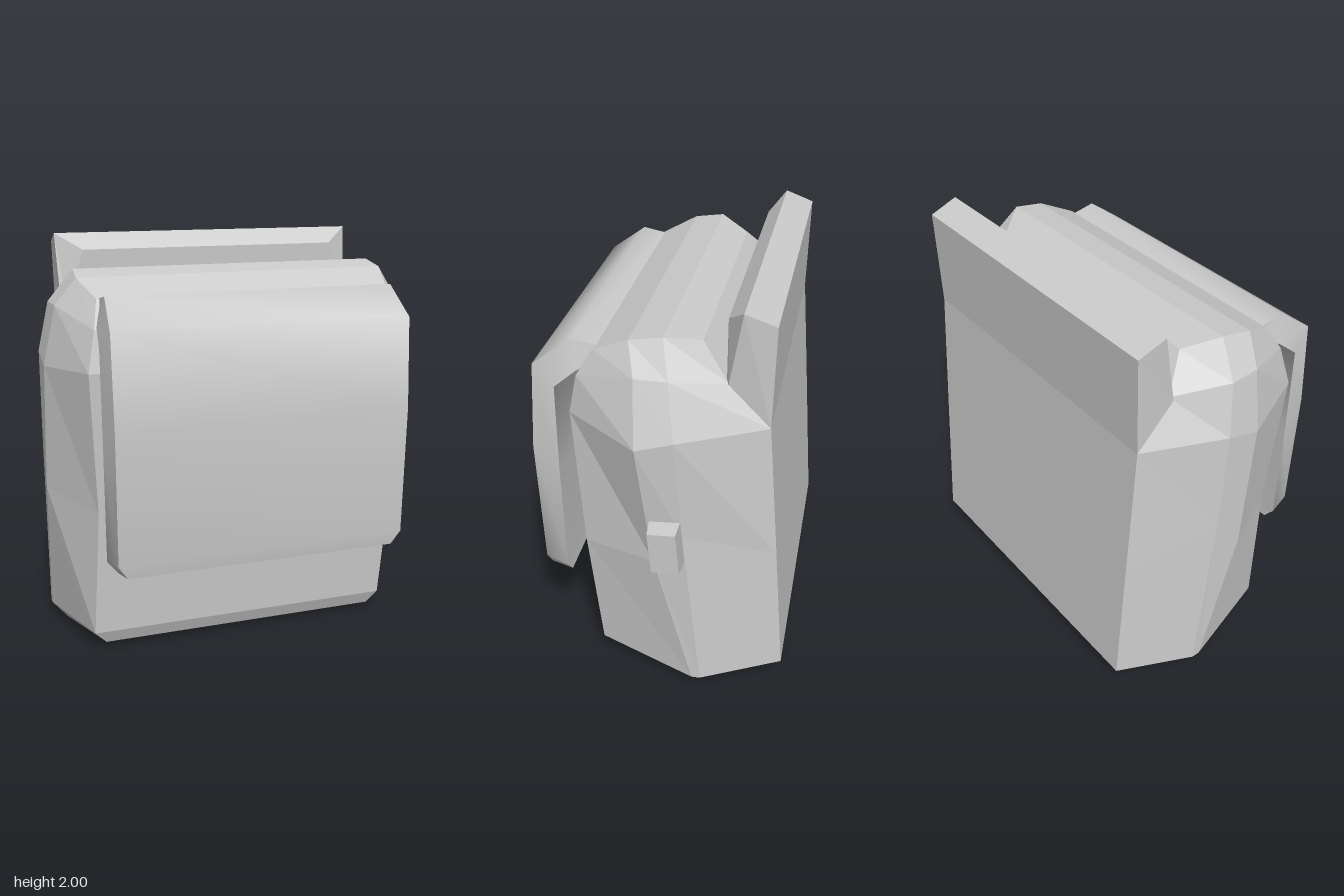
import * as THREE from 'three';
import { toCreasedNormals } from 'three/addons/utils/BufferGeometryUtils.js';

// Closed solid from side outlines: rows run upward, columns run front to back.
// Each point is [z, y, left-hand x, right-hand x]; strips join the two sides.
function sidedSolid(rows) {
  const pos = [];
  const R = (r, c) => [rows[r][c][3], rows[r][c][1], rows[r][c][0]];
  const L = (r, c) => [rows[r][c][2], rows[r][c][1], rows[r][c][0]];
  const quad = (a, b, c, d) => [a, b, d, b, c, d].forEach((p) => pos.push(...p));
  const top = rows.length - 1;
  const back = rows[0].length - 1;
  for (let r = 0; r < top; r++) {
    for (let c = 0; c < back; c++) {
      quad(R(r, c), R(r, c + 1), R(r + 1, c + 1), R(r + 1, c));
      quad(L(r, c + 1), L(r, c), L(r + 1, c), L(r + 1, c + 1));
    }
    quad(L(r, 0), R(r, 0), R(r + 1, 0), L(r + 1, 0));
    quad(R(r, back), L(r, back), L(r + 1, back), R(r + 1, back));
  }
  for (let c = 0; c < back; c++) {
    quad(L(top, c), R(top, c), R(top, c + 1), L(top, c + 1));
    quad(L(0, c + 1), R(0, c + 1), R(0, c), L(0, c));
  }
  const geo = new THREE.BufferGeometry();
  geo.setAttribute('position', new THREE.Float32BufferAttribute(pos, 3));
  geo.computeVertexNormals();
  return geo;
}

export function createModel() {
  const group = new THREE.Group();
  const flat = new THREE.MeshStandardMaterial({ color: 0xcccccc, flatShading: true });
  const smooth = new THREE.MeshStandardMaterial({ color: 0xcccccc });
  const add = (name, geo, mat = flat) => {
    const mesh = new THREE.Mesh(geo, mat);
    mesh.name = name;
    group.add(mesh);
    return mesh;
  };

  // Faceted bag body with bulging sides
  add('body', sidedSolid([
    [[0.28, 0.03, -0.77, 0.66], [-0.13, 0, -0.9, 0.8], [-0.15, 0, -0.9, 0.8], [-0.46, 0.05, -0.8, 0.71]],
    [[0.31, 0.1, -0.83, 0.71], [-0.18, 0.07, -0.97, 0.88], [-0.22, 0.07, -0.97, 0.88], [-0.605, 0.12, -0.83, 0.74]],
    [[0.36, 0.74, -0.8, 0.74], [0, 0.78, -0.99, 0.885], [-0.14, 0.95, -0.98, 0.9], [-0.553, 0.8, -0.83, 0.745]],
    [[0.41, 1.43, -0.83, 0.71], [0.06, 1.41, -0.98, 0.945], [-0.11, 1.455, -0.98, 0.93], [-0.5, 1.47, -0.83, 0.75]],
    [[0.37, 1.62, -0.79, 0.71], [0.08, 1.7, -0.92, 0.84], [-0.07, 1.7, -0.93, 0.84], [-0.31, 1.66, -0.8, 0.73]],
    [[0.29, 1.75, -0.76, 0.7], [0.12, 1.83, -0.82, 0.74], [-0.03, 1.855, -0.81, 0.74], [-0.18, 1.8, -0.71, 0.62]],
  ]));

  // Raised panel above the back edge
  add('backPanel', sidedSolid([
    [[-0.3, 1.64, -0.8, 0.72], [-0.31, 1.66, -0.83, 0.74], [-0.5, 1.47, -0.83, 0.75]],
    [[-0.29, 1.92, -0.71, 0.64], [-0.37, 2, -0.84, 0.76], [-0.51, 1.95, -0.835, 0.755]],
  ]));

  // Front flap: [outer z, outer y, outer half width, inner z, inner y, inner half width]
  const flapX = -0.04;
  const flapRows = [
    [0.58, 0.49, 0.675, 0.47, 0.48, 0.7],
    [0.592, 0.56, 0.72, 0.475, 0.545, 0.75],
    [0.61, 1.2, 0.72, 0.48, 1.1, 0.75],
    [0.58, 1.64, 0.72, 0.475, 1.55, 0.75],
    [0.4, 1.775, 0.705, 0.38, 1.63, 0.74],
    [0.28, 1.752, 0.705, 0.27, 1.7, 0.71],
  ].map(([oz, oy, ow, iz, iy, iw]) => [
    [oz, oy, flapX - ow, flapX + ow],
    [iz, iy, flapX - iw, flapX + iw],
  ]);
  add('flap', toCreasedNormals(sidedSolid(flapRows), 0.95), smooth);

  // Small tapered toggle on the left side
  const toggleGeo = new THREE.BoxGeometry(0.14, 0.25, 0.15);
  const p = toggleGeo.attributes.position;
  for (let i = 0; i < p.count; i++) {
    if (p.getX(i) > 0) p.setXYZ(i, p.getX(i), p.getY(i) * 0.86, p.getZ(i) * 0.86);
  }
  const toggle = add('sideToggle', toggleGeo);
  toggle.position.set(0.917, 0.91, -0.07);
  toggle.rotation.set(0.07, 0, -0.03);

  return group;
}
